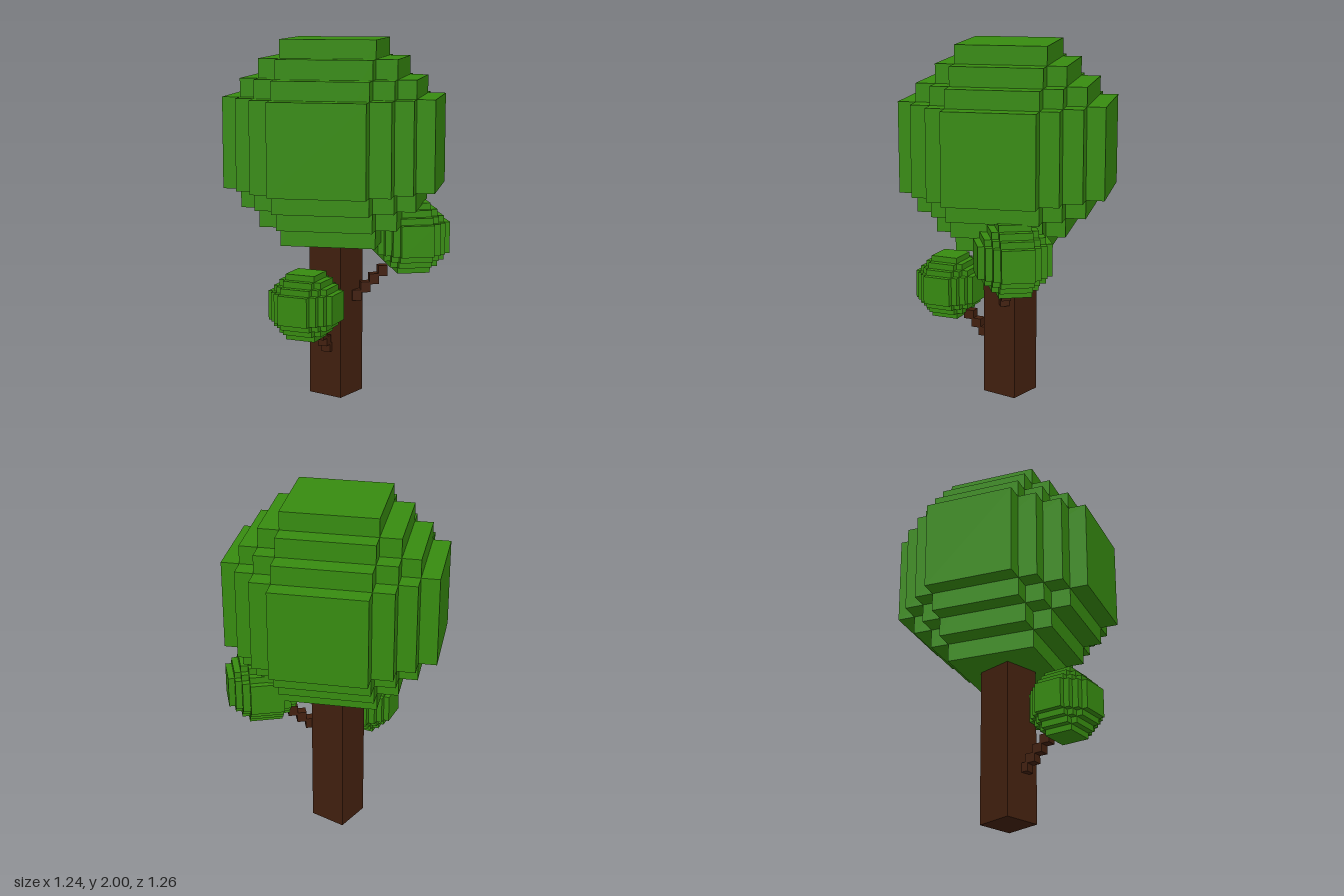
import * as THREE from 'three';

const leafMat = new THREE.MeshStandardMaterial({ color: 0x378b10, flatShading: true });
const barkMat = new THREE.MeshStandardMaterial({ color: 0x42200f, flatShading: true });

function box(name, mat, w, h, d, x = 0, y = 0, z = 0) {
  const mesh = new THREE.Mesh(new THREE.BoxGeometry(w, h, d), mat);
  mesh.name = name;
  mesh.position.set(x, y, z);
  return mesh;
}

// Half sizes of the stepped foliage ball along x, y and z
const HX = [0.25, 0.355, 0.463, 0.563];
const HY = [0.25, 0.352, 0.458, 0.56];
const HZ = [0.262, 0.378, 0.48, 0.58];

// Blocky ball: every box whose three step indices add up to 3
function foliage(name, x, y, z, angle, scale) {
  const ball = new THREE.Group();
  ball.name = name;
  for (let i = 0; i <= 3; i++) {
    for (let j = 0; i + j <= 3; j++) {
      ball.add(box('leafBlock', leafMat, 2 * HX[i], 2 * HY[j], 2 * HZ[3 - i - j]));
    }
  }
  ball.position.set(x, y, z);
  ball.rotation.y = THREE.MathUtils.degToRad(angle);
  ball.scale.setScalar(scale);
  return ball;
}

// Staircase of small blocks climbing out of the trunk
function branch(name, start, step, count, size, angle) {
  const g = new THREE.Group();
  g.name = name;
  for (let i = 0; i < count; i++) {
    const p = start.map((s, k) => s + step[k] * i);
    const b = box('branchBlock', barkMat, ...size, ...p);
    b.rotation.y = THREE.MathUtils.degToRad(angle);
    g.add(b);
  }
  return g;
}

export function createModel() {
  const tree = new THREE.Group();
  tree.name = 'tree';

  tree.add(box('trunk', barkMat, 0.214, 0.9, 0.214, 0, 0.45, 0));
  tree.add(foliage('crown', 0, 1.44, 0, 24.8, 1));

  // Upper branch, towards the front left
  tree.add(branch('leftBranch', [0.04, 0.57, 0.11], [0.035, 0.045, 0.035], 4, [0.053, 0.06, 0.053], 45));
  tree.add(foliage('leftFoliage', 0.258, 0.897, 0.33, 45, 0.353));

  // Lower branch, towards the right
  tree.add(branch('rightBranch', [-0.11, 0.29, 0.022], [-0.045, 0.045, 0.0095], 4, [0.06, 0.052, 0.055], 12));
  tree.add(foliage('rightFoliage', -0.375, 0.585, 0.07, 12, 0.321));

  return tree;
}
